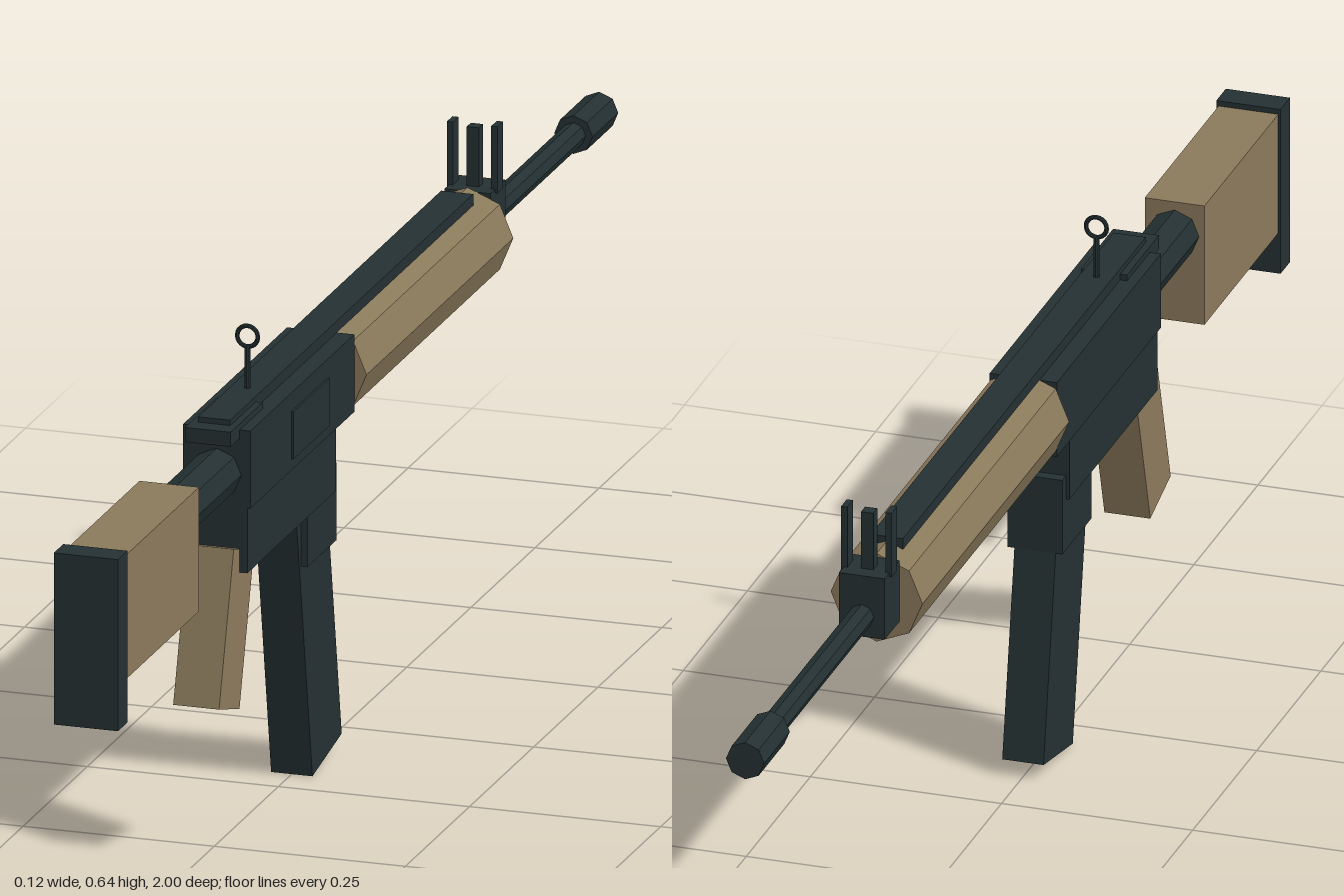
import * as THREE from 'three';

export function createModel() {
  const model = new THREE.Group();
  const dark = new THREE.MeshStandardMaterial({ name: 'gunmetal', color: 0x243032, flatShading: true });
  const tan = new THREE.MeshStandardMaterial({ name: 'tan furniture', color: 0x8a795b, flatShading: true });

  const add = (name, geometry, material) => {
    const mesh = new THREE.Mesh(geometry, material);
    mesh.name = name;
    model.add(mesh);
    return mesh;
  };
  // Box given by its x, y and z ranges
  const box = (name, material, [x0, x1], [y0, y1], [z0, z1]) => {
    const mesh = add(name, new THREE.BoxGeometry(x1 - x0, y1 - y0, z1 - z0), material);
    mesh.position.set((x0 + x1) / 2, (y0 + y1) / 2, (z0 + z1) / 2);
    return mesh;
  };
  // Faceted rod along z
  const rod = (name, material, radius, y, z0, z1, sides = 8) => {
    const geometry = new THREE.CylinderGeometry(radius, radius, z1 - z0, sides).rotateX(Math.PI / 2);
    const mesh = add(name, geometry, material);
    mesh.position.set(0, y, (z0 + z1) / 2);
    return mesh;
  };
  // Box leaning in the z-y plane
  const leaning = (name, material, size, y, z, angle) => {
    const mesh = add(name, new THREE.BoxGeometry(...size), material);
    mesh.position.set(0, y, z);
    mesh.rotation.x = angle;
    return mesh;
  };
  const half = (w) => [-w, w];

  // Stock
  box('buttPad', dark, half(0.042), [0.313, 0.537], [0.963, 1]);
  box('stock', tan, half(0.039), [0.368, 0.53], [0.675, 0.963]);
  rod('bufferTube', dark, 0.032, 0.487, 0.48, 0.69);

  // Receiver
  box('upperReceiver', dark, half(0.044), [0.445, 0.546], [0.085, 0.49]);
  box('lowerReceiver', dark, half(0.04), [0.36, 0.45], [0.145, 0.49]);
  box('ejectionPort', dark, [0.04, 0.047], [0.46, 0.522], [0.19, 0.33]);
  box('chargingHandle', dark, half(0.03), [0.535, 0.554], [0.4, 0.525]);
  box('topRail', dark, half(0.021), [0.54, 0.561], [-0.447, 0.5]);

  // Magazine, grip and trigger guard
  box('magazineWell', dark, half(0.036), [0.291, 0.392], [0.13, 0.243]);
  leaning('magazine', dark, [0.054, 0.35, 0.116], 0.185, 0.171, 0.175);
  leaning('pistolGrip', tan, [0.06, 0.2, 0.083], 0.29, 0.502, -0.29);
  box('triggerGuard', dark, half(0.012), [0.346, 0.353], [0.31, 0.45]);
  box('triggerGuardFront', dark, half(0.012), [0.348, 0.365], [0.306, 0.313]);
  box('trigger', dark, half(0.006), [0.35, 0.365], [0.375, 0.387]);

  // Handguard and barrel
  rod('handguard', tan, 0.06, 0.495, -0.487, 0.085);
  rod('barrel', dark, 0.016, 0.495, -0.92, -0.48);
  rod('muzzleDevice', dark, 0.025, 0.495, -1, -0.9);

  // Front sight
  box('frontSightBase', dark, half(0.03), [0.467, 0.55], [-0.545, -0.487]);
  box('frontSightPost', dark, half(0.008), [0.545, 0.627], [-0.524, -0.508]);
  for (const side of [-1, 1]) {
    const ear = box('frontSightEar', dark, half(0.004), [0.545, 0.632], [-0.527, -0.505]);
    ear.position.x = side * 0.029;
  }

  // Rear sight
  const post = add('rearSightPost', new THREE.CylinderGeometry(0.004, 0.004, 0.06, 8), dark);
  post.position.set(0, 0.585, 0.37);
  const ring = add('rearSightRing', new THREE.TorusGeometry(0.0135, 0.003, 8, 20), dark);
  ring.position.set(0, 0.628, 0.37);

  return model;
}
